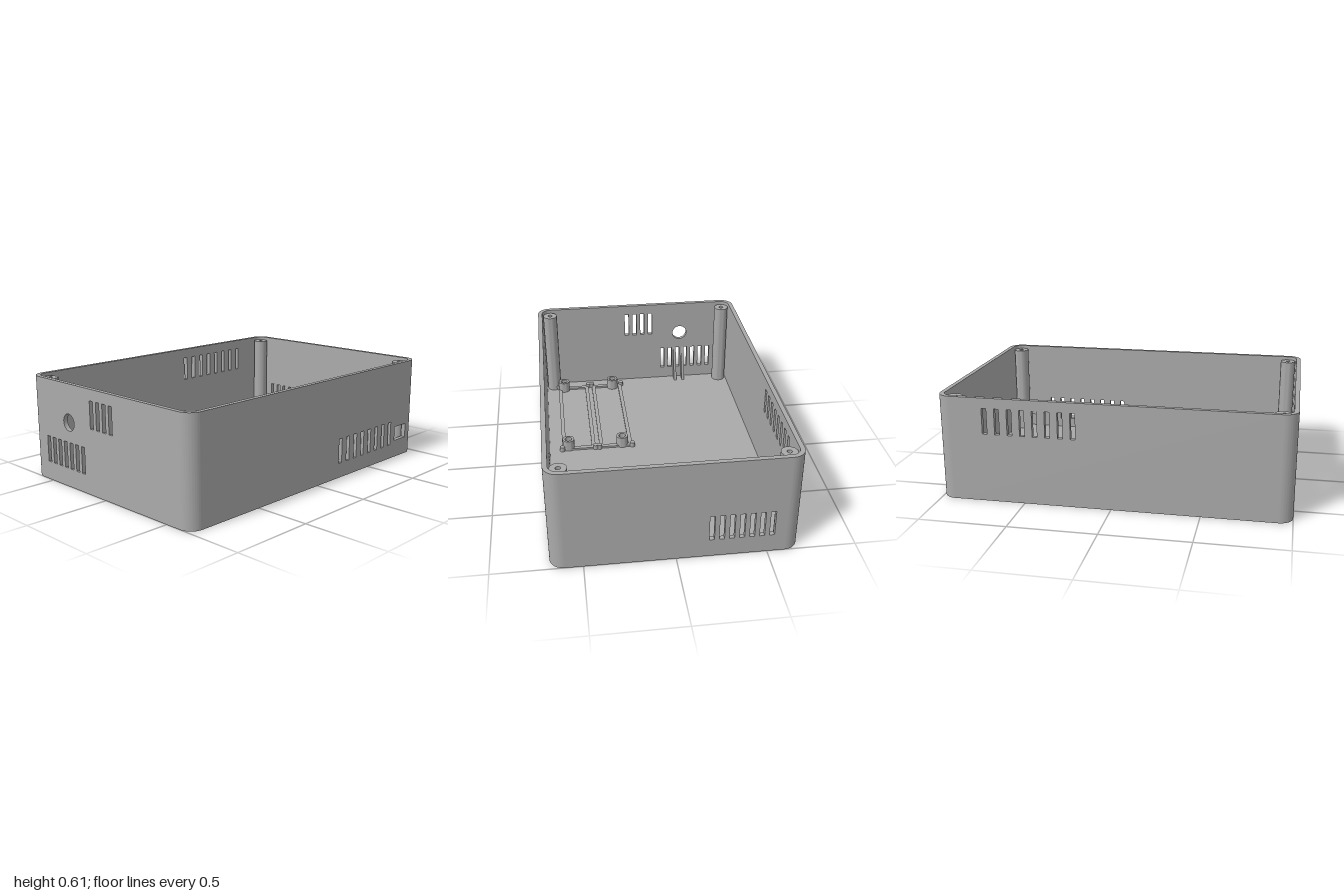
import * as THREE from 'three';
import { toCreasedNormals } from 'three/addons/utils/BufferGeometryUtils.js';

const W = 1, D = 0.68, H = 0.61; // half width, half depth, height
const T = 0.027, R = 0.08, FLOOR = 0.03; // wall, corner radius, floor thickness

export function createModel() {
  const model = new THREE.Group();
  model.name = 'enclosure';
  const grey = new THREE.MeshStandardMaterial({ color: 0xaaaaaa });
  grey.name = 'grey plastic';

  const add = (name, geometry, x = 0, y = 0, z = 0) => {
    const mesh = new THREE.Mesh(toCreasedNormals(geometry, 0.6), grey);
    mesh.name = name;
    mesh.position.set(x, y, z);
    model.add(mesh);
    return mesh;
  };
  const extrude = (shape, depth) =>
    new THREE.ExtrudeGeometry(shape, { depth, bevelEnabled: false, curveSegments: 16 });
  const rect = (u0, u1, v0, v1, Type = THREE.Path) => {
    const p = new Type();
    p.moveTo(u0, v0);
    p.lineTo(u1, v0);
    p.lineTo(u1, v1);
    p.lineTo(u0, v1);
    p.closePath();
    return p;
  };
  // row of upright vent slots
  const slots = (count, start, step, width, y0, y1) =>
    Array.from({ length: count }, (_, i) =>
      rect(start + i * step, start + i * step + width, y0, y1));

  // flat wall panels, drawn as seen from outside, then turned into place
  const wall = (name, half, distance, turn, holes) => {
    const shape = rect(R - half, half - R, 0, H, THREE.Shape);
    shape.holes.push(...holes);
    const g = extrude(shape, T);
    g.translate(0, 0, distance - T);
    g.rotateY(turn);
    add(name, g);
  };
  wall('frontWall', W, D, 0, [
    ...slots(8, 0.197, 0.0725, 0.028, 0.09, 0.24),
    rect(0.78, 0.9, 0.11, 0.2),
  ]);
  wall('backWall', W, D, Math.PI, slots(8, -0.732, 0.0725, 0.028, 0.4, 0.55));
  wall('leftWall', D, W, Math.PI / 2, slots(7, 0.178, 0.055, 0.028, 0.11, 0.267));
  const cableHole = new THREE.Path();
  cableHole.absarc(-0.315, 0.385, 0.05, 0, Math.PI * 2, true);
  wall('rightWall', D, W, -Math.PI / 2, [
    ...slots(7, -0.536, 0.055, 0.028, 0.11, 0.267),
    ...slots(4, -0.115, 0.055, 0.028, 0.385, 0.545),
    cableHole,
  ]);

  // rounded wall corners
  [[1, 1], [-1, 1], [-1, -1], [1, -1]].forEach(([sx, sy], i) => {
    const a = i * Math.PI / 2;
    const shape = new THREE.Shape();
    shape.absarc(0, 0, R, a, a + Math.PI / 2, false);
    shape.absarc(0, 0, R - T, a + Math.PI / 2, a, true);
    shape.closePath();
    const g = extrude(shape, H);
    g.rotateX(-Math.PI / 2);
    add('wallCorner', g, sx * (W - R), 0, -sy * (D - R));
  });

  // floor with rounded corners, inside the walls
  const floor = new THREE.Shape();
  const r = R - T, cx = W - R, cz = D - R;
  floor.absarc(cx, cz, r, 0, Math.PI / 2);
  floor.absarc(-cx, cz, r, Math.PI / 2, Math.PI);
  floor.absarc(-cx, -cz, r, Math.PI, Math.PI * 1.5);
  floor.absarc(cx, -cz, r, Math.PI * 1.5, Math.PI * 2);
  floor.closePath();
  const floorGeometry = extrude(floor, FLOOR);
  floorGeometry.rotateX(-Math.PI / 2);
  add('floor', floorGeometry);

  // upright tube with a blind hole
  const boss = (name, x, z, radius, bore, top, depth, sides = 32) => {
    const profile = [
      [radius, FLOOR], [radius, top], [bore, top], [bore, top - depth], [0, top - depth],
    ].map(([a, b]) => new THREE.Vector2(a, b));
    add(name, new THREE.LatheGeometry(profile, sides), x, 0, z);
  };
  for (const x of [-0.918, 0.918])
    for (const z of [-0.6, 0.6]) boss('screwPost', x, z, 0.046, 0.014, 0.592, 0.2);

  // circuit board standoffs
  for (const x of [-0.866, -0.104])
    for (const z of [0.187, 0.532]) boss('boardStandoff', x, z, 0.037, 0.022, 0.1, 0.05, 24);

  // low frames with corner pins on the floor
  for (const [z0, z1] of [[0.123, 0.335], [0.36, 0.573]]) {
    const frame = rect(-0.888, -0.075, -z1, -z0, THREE.Shape);
    frame.holes.push(rect(-0.862, -0.103, -z1 + 0.024, -z0 - 0.024));
    const g = extrude(frame, 0.012);
    g.rotateX(-Math.PI / 2);
    add('boardFrame', g, 0, FLOOR, 0);
    for (const x of [-0.886, -0.079])
      for (const z of [z0, z1])
        add('framePin', new THREE.CylinderGeometry(0.016, 0.016, 0.03, 20), x, FLOOR + 0.015, z);
  }

  // slim triangular gussets below the cable hole
  for (const z of [-0.347, -0.29]) {
    const gusset = new THREE.Shape();
    gusset.moveTo(-W + T, FLOOR);
    gusset.lineTo(-0.91, FLOOR);
    gusset.lineTo(-W + T, 0.27);
    gusset.closePath();
    add('gusset', extrude(gusset, 0.018), 0, 0, z);
  }
  return model;
}
